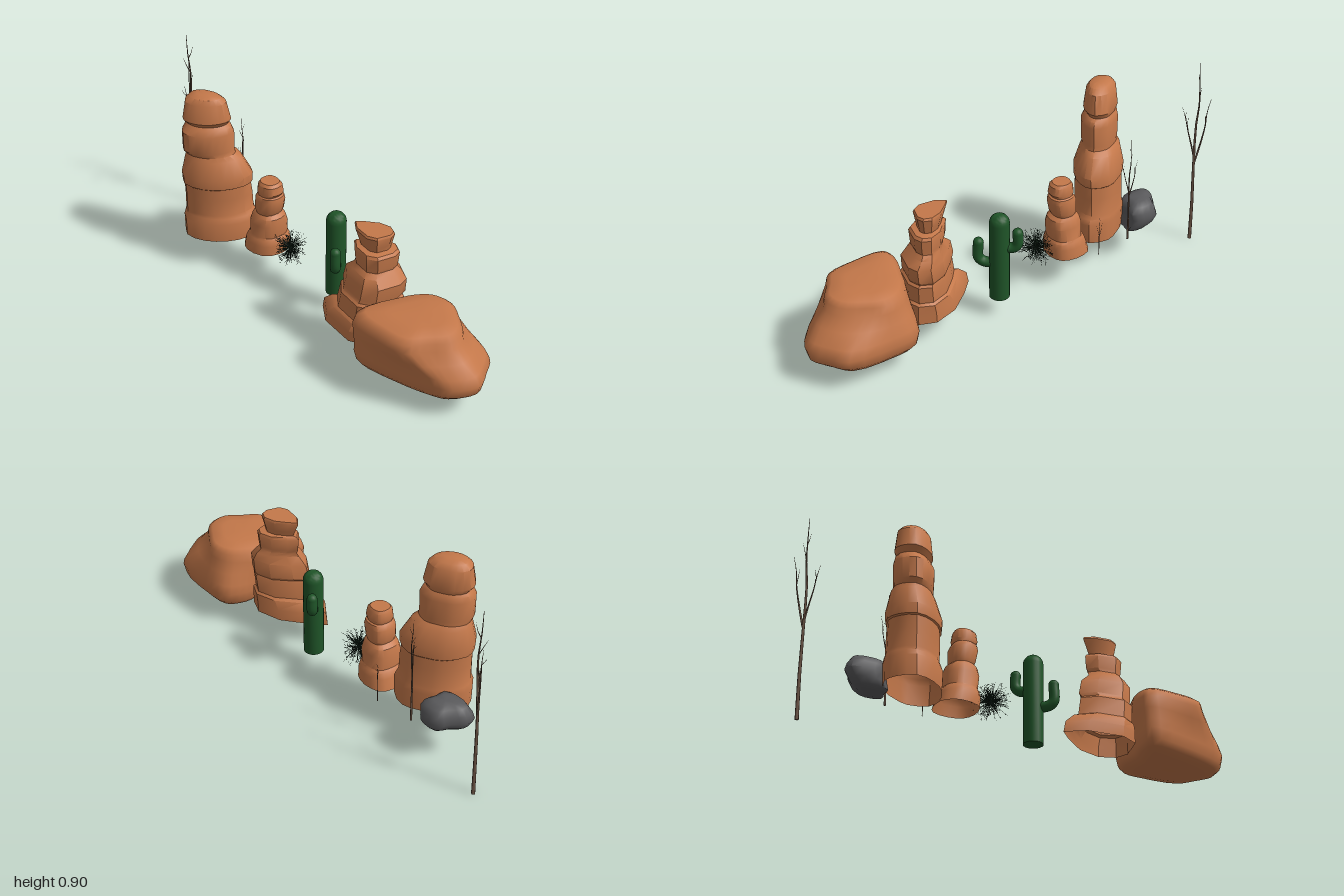
import * as THREE from 'three';
import { mergeGeometries, toCreasedNormals } from 'three/addons/utils/BufferGeometryUtils.js';

const mat = (color, side = THREE.FrontSide) => new THREE.MeshStandardMaterial({ color, side, roughness: 1 });
const sandstone = mat(0xc4784a, THREE.DoubleSide);
const green = mat(0x1f5428);
const bark = mat(0x6b5444);
const grey = mat(0x5a5a5c);
const darkGreen = mat(0x14261a);

function named(name, geometry, material) {
  const mesh = new THREE.Mesh(geometry, material);
  mesh.name = name;
  return mesh;
}

// Skin stacked rings of [x, y, z] (clockwise seen from above), with optional caps
function loft(rings, capTop = true, capBottom = true) {
  const n = rings[0].length, pos = rings.flat(2), idx = [];
  for (let i = 0; i < rings.length - 1; i++) {
    for (let j = 0; j < n; j++) {
      const a = i * n + j, b = i * n + (j + 1) % n;
      idx.push(a, a + n, b, b, a + n, b + n);
    }
  }
  const cap = (ring, start, up) => {
    const centre = pos.length / 3;
    for (let k = 0; k < 3; k++) pos.push(ring.reduce((s, p) => s + p[k], 0) / n);
    for (let j = 0; j < n; j++) {
      const a = start + j, b = start + (j + 1) % n;
      idx.push(centre, up ? b : a, up ? a : b);
    }
  };
  if (capTop) cap(rings.at(-1), (rings.length - 1) * n, true);
  if (capBottom) cap(rings[0], 0, false);
  const g = new THREE.BufferGeometry();
  g.setAttribute('position', new THREE.Float32BufferAttribute(pos, 3));
  g.setIndex(idx);
  g.computeVertexNormals();
  return g;
}

// Round off a closed [x, z] outline
function smoothOutline(pts, count) {
  const curve = new THREE.CatmullRomCurve3(pts.map(([x, z]) => new THREE.Vector3(x, 0, z)), true);
  return Array.from({ length: count }, (_, i) => {
    const p = curve.getPoint(i / count);
    return [p.x, p.z];
  });
}

// Layered rock: a unit outline fitted to each level [y, xMin, xMax, zMin, zMax]
function layeredRock(name, outline, levels, material, crease, closed) {
  const rings = levels.map(([y, x0, x1, z0, z1]) => outline.map(([u, v]) => [
    (x0 + x1) / 2 + u * (x1 - x0) / 2, y, (z0 + z1) / 2 + v * (z1 - z0) / 2]));
  return named(name, toCreasedNormals(loft(rings, true, closed), crease), material);
}

// Boulder: a wide lower outline blending into a smaller, overhanging plateau
function boulder() {
  const low = smoothOutline([[-0.2, 0.5], [-0.1, 0.5], [0, 0.53], [0.1, 0.53], [0.19, 0.58], [0.205, 0.7],
    [0.18, 0.9], [0.1, 0.96], [0.02, 1], [-0.08, 0.95], [-0.12, 0.88], [-0.18, 0.68]], 36);
  const high = smoothOutline([[-0.2, 0.49], [-0.13, 0.475], [0, 0.52], [0.07, 0.55], [0.14, 0.61], [0.16, 0.7],
    [0.12, 0.78], [0.05, 0.87], [-0.03, 0.885], [-0.11, 0.83], [-0.19, 0.77], [-0.21, 0.64]], 36);
  // [y, blend to plateau, scale]
  const levels = [[0.076, 0, 0.6], [0.09, 0, 0.86], [0.115, 0, 0.96], [0.16, 0, 1], [0.2, 0.15, 0.99],
    [0.25, 0.6, 1], [0.3, 1, 1], [0.335, 1, 0.96], [0.355, 1, 0.83], [0.364, 1, 0.5]];
  const rings = levels.map(([y, t, s]) => low.map(([x, z], i) => [
    s * (x + (high[i][0] - x) * t), y, 0.7 + s * (z + (high[i][1] - z) * t - 0.7)]));
  return named('boulder', loft(rings), sandstone);
}

// Cactus: domed trunk with two bent arms
function cactus() {
  const group = new THREE.Group();
  group.name = 'cactus';
  const r = 0.044, profile = [new THREE.Vector2(0, 0.09), new THREE.Vector2(r, 0.09)];
  for (let i = 0; i <= 8; i++) {
    const a = i / 8 * Math.PI / 2;
    profile.push(new THREE.Vector2(Math.max(0, r * Math.cos(a)), 0.458 + r * Math.sin(a)));
  }
  const trunk = named('cactusTrunk', toCreasedNormals(new THREE.LatheGeometry(profile, 20), 0.9), green);
  trunk.position.set(0.075, 0, 0.088);
  group.add(trunk);
  for (const [x, z, y0, y1] of [[0.012, 0.152, 0.26, 0.353], [0.128, 0.032, 0.34, 0.413]]) {
    const path = new THREE.CatmullRomCurve3([[0.075, y0, 0.088], [x * 0.75 + 0.019, y0, z * 0.75 + 0.022],
      [x, y0 + 0.02, z], [x, y1, z]].map(p => new THREE.Vector3(...p)));
    const tip = new THREE.SphereGeometry(0.023, 14, 10).translate(x, y1, z);
    group.add(named('cactusArm', mergeGeometries([new THREE.TubeGeometry(path, 20, 0.023, 14), tip]), green));
  }
  return group;
}

// Bare tree: tapering limbs, each a list of points with a starting radius
function limb(points, radius) {
  const curve = new THREE.CatmullRomCurve3(points.map(p => new THREE.Vector3(...p)));
  const rings = Array.from({ length: 13 }, (_, i) => {
    const p = curve.getPoint(i / 12), r = radius * (1 - 0.88 * i / 12);
    return Array.from({ length: 7 }, (_, j) => {
      const a = j / 7 * Math.PI * 2;
      return [p.x + r * Math.cos(a), p.y, p.z + r * Math.sin(a)];
    });
  });
  return loft(rings);
}

const treeGeometry = mergeGeometries([
  limb([[0, 0, 0], [0, 0.2, 0], [-0.002, 0.4, 0.004], [0.004, 0.6, 0.01], [0.011, 0.7, 0.005], [0.002, 0.8, 0.002], [-0.003, 0.9, 0.003]], 0.0085),
  limb([[-0.001, 0.4, 0.002], [0.014, 0.5, -0.014], [0.024, 0.59, -0.026], [0.027, 0.66, -0.03], [0.038, 0.73, -0.04]], 0.005),
  limb([[-0.001, 0.42, 0.003], [-0.014, 0.49, 0.014], [-0.027, 0.56, 0.027], [-0.04, 0.62, 0.034], [-0.054, 0.67, 0.042]], 0.0045),
  limb([[0.024, 0.6, -0.026], [0.031, 0.64, -0.018], [0.034, 0.68, -0.012]], 0.0022),
  limb([[-0.027, 0.56, 0.027], [-0.024, 0.6, 0.034], [-0.02, 0.635, 0.036]], 0.0022),
  limb([[-0.037, 0.61, 0.033], [-0.05, 0.63, 0.024], [-0.053, 0.645, 0.018]], 0.0018),
  limb([[0.005, 0.78, 0.003], [0.013, 0.81, 0.014], [0.016, 0.845, 0.022]], 0.0022),
  limb([[0.01, 0.7, 0.006], [-0.002, 0.745, -0.01], [-0.008, 0.775, -0.022]], 0.0022),
]);

// Dry bush: radiating spikes with side twigs
function bush() {
  let seed = 7;
  const rnd = () => (seed = (seed * 16807) % 2147483647) / 2147483647;
  const dir = () => {
    const y = rnd() * 2 - 1, a = rnd() * Math.PI * 2, r = Math.sqrt(1 - y * y);
    return new THREE.Vector3(r * Math.cos(a), y, r * Math.sin(a));
  };
  const up = new THREE.Vector3(0, 1, 0), parts = [];
  const spike = (from, d, length, radius) => parts.push(new THREE.ConeGeometry(radius, length, 3, 1, true)
    .translate(0, length / 2, 0)
    .applyQuaternion(new THREE.Quaternion().setFromUnitVectors(up, d))
    .translate(from.x, from.y, from.z));
  for (let i = 0; i < 120; i++) {
    const d = dir(), length = 0.06 + rnd() * 0.045;
    spike(new THREE.Vector3(), d, length, 0.0018);
    for (const t of [0.35, 0.5, 0.65, 0.8]) {
      spike(d.clone().multiplyScalar(length * t), dir().addScaledVector(d, 0.9).normalize(), 0.022, 0.0011);
    }
  }
  const mesh = named('dryBush', mergeGeometries(parts), darkGreen);
  mesh.position.set(0.02, 0.217, -0.145);
  mesh.scale.set(1, 0.9, 0.95);
  return mesh;
}

export function createModel() {
  const model = new THREE.Group();
  model.name = 'desertScene';
  model.add(boulder(), cactus(), bush());

  // Angular middle pillar with a flared cap
  model.add(layeredRock('middlePillar', [[-0.36, -1], [0.12, -0.67], [0.76, -0.1], [1, 0.5], [0.76, 0.89],
    [0.28, 1], [-0.68, 0.78], [-1, 0.33], [-0.84, -0.55]], [
    [0.115, -0.14, 0.11, 0.155, 0.525], [0.165, -0.14, 0.11, 0.165, 0.525], [0.205, -0.13, 0.11, 0.21, 0.52],
    [0.215, -0.12, 0.1, 0.235, 0.51], [0.295, -0.115, 0.105, 0.25, 0.515], [0.305, -0.105, 0.1, 0.26, 0.505],
    [0.32, -0.1, 0.11, 0.25, 0.515], [0.385, -0.095, 0.11, 0.265, 0.52], [0.42, -0.08, 0.1, 0.305, 0.49],
    [0.44, -0.06, 0.085, 0.31, 0.475], [0.455, -0.06, 0.085, 0.3, 0.48], [0.51, -0.065, 0.09, 0.295, 0.485],
    [0.522, -0.06, 0.085, 0.305, 0.475], [0.527, -0.035, 0.06, 0.32, 0.45], [0.55, -0.04, 0.065, 0.31, 0.455],
    [0.595, -0.05, 0.075, 0.29, 0.465], [0.605, -0.045, 0.07, 0.295, 0.46]], sandstone, 0.6, false));

  // Small pillar
  const round = smoothOutline([[-1, -0.3], [-0.6, -0.9], [0.1, -1], [0.8, -0.75], [1, 0.1], [0.75, 0.8], [0, 1], [-0.75, 0.7]], 18);
  model.add(layeredRock('smallPillar', round, [
    [0.15, -0.072, 0.118, -0.4, -0.21], [0.2, -0.07, 0.112, -0.385, -0.208], [0.225, -0.06, 0.105, -0.375, -0.212],
    [0.235, -0.055, 0.098, -0.365, -0.22], [0.295, -0.055, 0.095, -0.365, -0.213], [0.33, -0.045, 0.085, -0.355, -0.22],
    [0.345, -0.035, 0.075, -0.335, -0.238], [0.36, -0.04, 0.08, -0.34, -0.23], [0.415, -0.04, 0.08, -0.34, -0.218],
    [0.435, -0.035, 0.075, -0.33, -0.222], [0.44, -0.03, 0.068, -0.325, -0.23], [0.455, -0.032, 0.07, -0.33, -0.22],
    [0.49, -0.028, 0.066, -0.325, -0.226], [0.502, -0.018, 0.058, -0.318, -0.238]], sandstone, 0.6, false));

  // Tall domed pillar
  const oval = smoothOutline([[-1, -0.4], [-0.65, -0.85], [-0.2, -1], [0.45, -0.7], [0.8, -0.2], [1, 0.3],
    [0.8, 0.9], [0.35, 1], [-0.3, 0.75], [-0.8, 0.25]], 20);
  model.add(layeredRock('tallPillar', oval, [
    [0.15, -0.2, 0.085, -0.68, -0.4], [0.24, -0.2, 0.085, -0.685, -0.395], [0.265, -0.19, 0.08, -0.68, -0.405],
    [0.28, -0.19, 0.075, -0.675, -0.415], [0.36, -0.19, 0.07, -0.675, -0.415], [0.415, -0.192, 0.065, -0.675, -0.42],
    [0.42, -0.198, 0.07, -0.682, -0.412], [0.465, -0.2, 0.07, -0.686, -0.408], [0.545, -0.178, 0.035, -0.67, -0.445],
    [0.565, -0.172, 0.01, -0.66, -0.465], [0.585, -0.188, 0.01, -0.665, -0.468], [0.675, -0.188, 0.008, -0.668, -0.465],
    [0.7, -0.17, 0, -0.66, -0.475], [0.712, -0.16, -0.01, -0.65, -0.49], [0.735, -0.18, 0, -0.665, -0.475],
    [0.82, -0.165, -0.018, -0.655, -0.487], [0.842, -0.145, -0.04, -0.635, -0.505], [0.85, -0.115, -0.07, -0.61, -0.53]],
  sandstone, 0.6, false));

  // Grey rock
  model.add(layeredRock('greyRock', smoothOutline([[-0.85, -0.9], [-0.3, -1], [0.3, -0.6], [0.9, -0.3], [1, 0.5],
    [0.7, 0.95], [0, 0.8], [-0.7, 0.75], [-1, 0.1]], 18), [
    [0.14, -0.01, 0.06, -0.73, -0.64], [0.15, -0.03, 0.1, -0.76, -0.61], [0.175, -0.04, 0.12, -0.79, -0.615],
    [0.21, -0.045, 0.13, -0.81, -0.62], [0.24, -0.04, 0.125, -0.8, -0.615], [0.268, -0.025, 0.11, -0.78, -0.63],
    [0.28, 0.01, 0.08, -0.75, -0.66]], grey, 1, true));

  // Bare trees at three sizes
  for (const [name, x, y, z, s] of [['largeTree', 0.116, 0, -0.958, 1], ['mediumTree', 0.115, 0.14, -0.583, 0.56],
    ['sapling', 0.138, 0.14, -0.402, 0.23]]) {
    const tree = named(name, treeGeometry, bark);
    tree.position.set(x, y, z);
    tree.scale.setScalar(s);
    model.add(tree);
  }
  return model;
}
